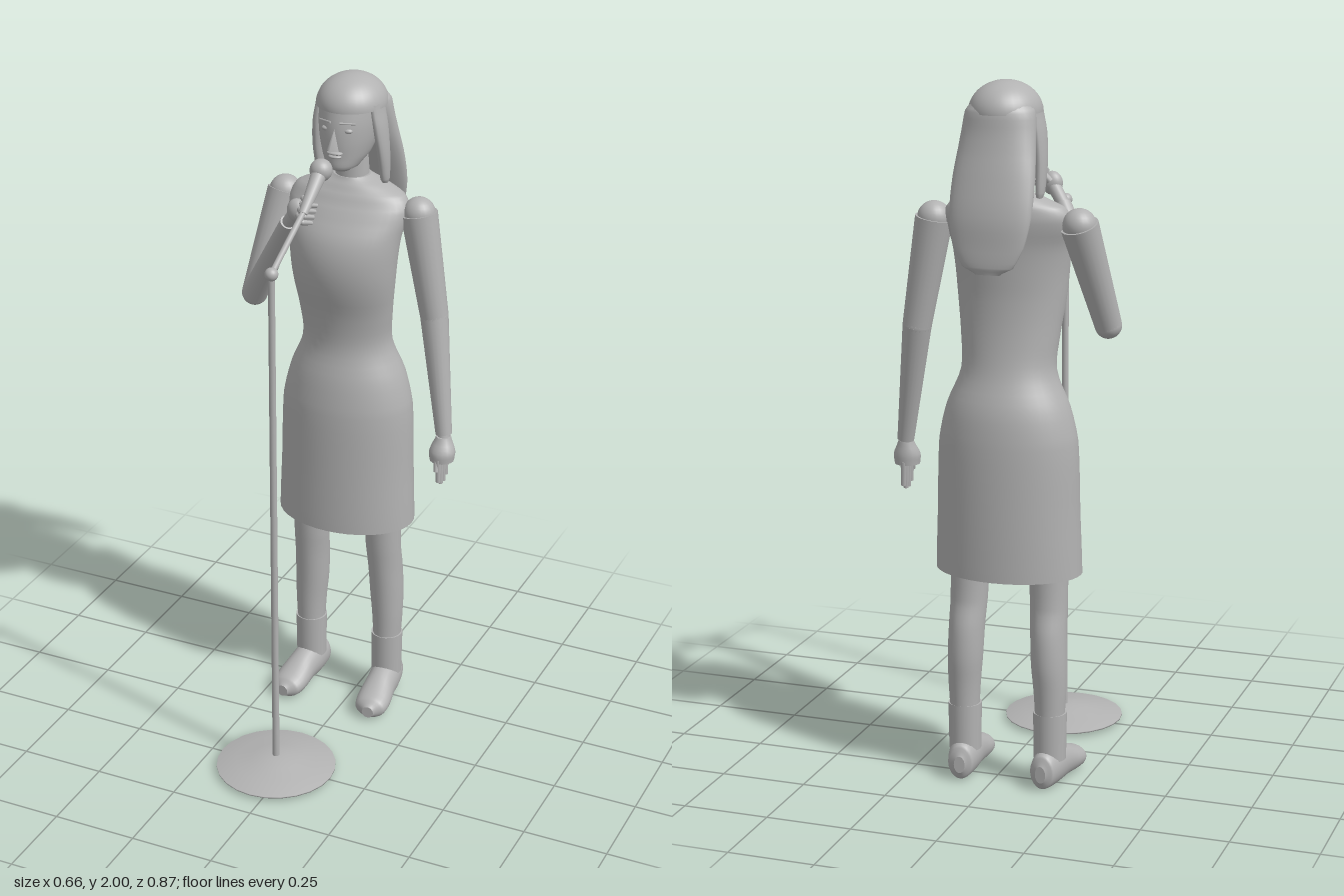
import * as THREE from 'three';

const grey = new THREE.MeshStandardMaterial({ color: 0xb2b2b2 });
grey.name = 'matte grey';
const CX = -0.034; // figure's centre line
const V = (x, y, z) => new THREE.Vector3(x, y, z);

function add(parent, name, geometry, pos) {
  const mesh = new THREE.Mesh(geometry, grey);
  mesh.name = name;
  if (pos) mesh.position.copy(pos);
  parent.add(mesh);
  return mesh;
}

// Elliptical cross-sections [y, centre x, centre z, half width, half depth],
// listed upwards, smoothed in between and closed with flat caps.
function loft(sections, seg = 32, sub = 4) {
  const rings = [];
  const last = sections.length - 1;
  for (let i = 0; i <= last * sub; i++) {
    const k = Math.min(Math.floor(i / sub), last - 1), t = i / sub - k;
    const s = (n) => sections[Math.max(0, Math.min(last, n))];
    rings.push(s(k).map((b, c) => {
      const a = s(k - 1)[c], d = s(k + 1)[c], e = s(k + 2)[c];
      if (c === 0) return b + (d - b) * t;
      return 0.5 * (2 * b + (d - a) * t + (2 * a - 5 * b + 4 * d - e) * t * t + (3 * b - a - 3 * d + e) * t * t * t);
    }));
  }
  const pos = [], idx = [];
  const ring = ([y, x, z, hx, hz]) => {
    for (let j = 0; j < seg; j++) {
      const a = (j / seg) * Math.PI * 2;
      pos.push(x + hx * Math.sin(a), y, z + hz * Math.cos(a));
    }
  };
  rings.forEach(ring);
  for (let i = 0; i < rings.length - 1; i++) {
    for (let j = 0; j < seg; j++) {
      const a = i * seg + j, b = i * seg + (j + 1) % seg;
      idx.push(a, b, a + seg, b, b + seg, a + seg);
    }
  }
  [rings[0], rings[rings.length - 1]].forEach((r, top) => {
    const base = pos.length / 3;
    ring(r);
    pos.push(r[1], r[0], r[2]);
    for (let j = 0; j < seg; j++) {
      const a = base + j, b = base + (j + 1) % seg;
      idx.push(base + seg, ...(top ? [a, b] : [b, a]));
    }
  });
  const g = new THREE.BufferGeometry();
  g.setAttribute('position', new THREE.Float32BufferAttribute(pos, 3));
  g.setIndex(idx);
  g.computeVertexNormals();
  return g;
}

// Tapered rod between two points
function rod(parent, name, a, b, ra, rb, seg = 20) {
  const d = b.clone().sub(a);
  const mesh = add(parent, name, new THREE.CylinderGeometry(rb, ra, d.length(), seg), a.clone().lerp(b, 0.5));
  mesh.quaternion.setFromUnitVectors(V(0, 1, 0), d.normalize());
  return mesh;
}

function ball(parent, name, p, rx, ry = rx, rz = rx) {
  const mesh = add(parent, name, new THREE.SphereGeometry(1, 24, 16), p);
  mesh.scale.set(rx, ry, rz);
  return mesh;
}

function group(parent, name) {
  const g = new THREE.Group();
  g.name = name;
  parent.add(g);
  return g;
}

function buildStand(root) {
  const stand = group(root, 'microphoneStand');
  const z = 0.257, joint = V(CX, 1.595, z);
  const profile = [[0, 0.01], [0.177, 0.01], [0.177, 0.014], [0.12, 0.027], [0.07, 0.037], [0.032, 0.045], [0, 0.045]];
  add(stand, 'base', new THREE.LatheGeometry(profile.map((p) => new THREE.Vector2(...p)), 24), V(CX, 0, z));
  rod(stand, 'pole', V(CX, 0.04, z), joint, 0.0105, 0.0095);
  ball(stand, 'joint', joint, 0.019);
  rod(stand, 'boom', joint, V(CX, 1.71, 0.035), 0.0085, 0.0085);
  rod(stand, 'microphoneBody', V(CX, 1.695, 0.058), V(CX, 1.77, -0.04), 0.013, 0.022);
  ball(stand, 'microphoneHead', V(CX, 1.783, -0.06), 0.032);
}

function buildHead(root) {
  const head = group(root, 'head');
  rod(head, 'neck', V(CX, 1.64, -0.275), V(CX, 1.8, -0.265), 0.052, 0.045);
  add(head, 'face', loft([
    [1.74, CX, -0.2, 0.025, 0.03], [1.752, CX, -0.208, 0.045, 0.056], [1.785, CX, -0.235, 0.066, 0.085],
    [1.83, CX, -0.25, 0.08, 0.102], [1.88, CX, -0.258, 0.087, 0.106], [1.94, CX, -0.265, 0.088, 0.1]]));
  // facial features
  const nose = add(head, 'nose', new THREE.ConeGeometry(0.018, 0.06, 4), V(CX, 1.842, -0.142));
  nose.scale.z = 1.3;
  nose.rotation.x = -0.15;
  ball(head, 'upperLip', V(CX, 1.802, -0.15), 0.024, 0.006, 0.014);
  ball(head, 'lowerLip', V(CX, 1.791, -0.152), 0.02, 0.006, 0.014);
  for (const s of [-1, 1]) {
    ball(head, 'eye', V(CX + s * 0.033, 1.866, -0.166), 0.014, 0.008, 0.011);
    const brow = rod(head, 'brow', V(CX + s * 0.014, 1.89, -0.15), V(CX + s * 0.054, 1.888, -0.168), 0.0035, 0.003, 6);
    brow.name = 'brow';
  }
  // hair: cap, long back fall and two side locks
  const hair = group(head, 'hair');
  const cap = add(hair, 'hairCap', new THREE.SphereGeometry(1, 32, 16, 0, Math.PI * 2, 0, Math.PI / 2), V(CX, 1.915, -0.268));
  cap.scale.set(0.1, 0.085, 0.112);
  const rim = add(hair, 'hairCapUnderside', new THREE.CircleGeometry(1, 32), V(CX, 1.915, -0.268));
  rim.rotation.x = Math.PI / 2;
  rim.scale.set(0.1, 0.112, 1);
  add(hair, 'backHair', loft([
    [1.495, CX, -0.42, 0.035, 0.009], [1.515, CX, -0.419, 0.072, 0.015], [1.57, CX, -0.411, 0.1, 0.022],
    [1.65, CX, -0.396, 0.116, 0.034], [1.75, CX, -0.366, 0.116, 0.044], [1.85, CX, -0.332, 0.106, 0.054],
    [1.92, CX, -0.312, 0.098, 0.064], [1.95, CX, -0.3, 0.08, 0.062]]));
  for (const s of [-1, 1]) {
    add(hair, 'sideLock', loft([
      [1.675, CX + s * 0.098, -0.28, 0.005, 0.008], [1.7, CX + s * 0.1, -0.274, 0.012, 0.02],
      [1.78, CX + s * 0.1, -0.262, 0.015, 0.03], [1.86, CX + s * 0.093, -0.255, 0.016, 0.038],
      [1.93, CX + s * 0.082, -0.255, 0.014, 0.04]], 16));
  }
}

function buildLegs(root) {
  for (const s of [-1, 1]) {
    const leg = group(root, s > 0 ? 'leftLeg' : 'rightLeg');
    const x = CX + s * 0.128;
    add(leg, 'shin', loft([
      [0.2, x, -0.266, 0.042, 0.046], [0.28, x, -0.267, 0.046, 0.05], [0.36, x - s * 0.003, -0.268, 0.05, 0.056],
      [0.45, x - s * 0.006, -0.262, 0.051, 0.058], [0.53, x - s * 0.009, -0.25, 0.053, 0.054],
      [0.68, x - s * 0.012, -0.245, 0.057, 0.058]], 24));
    rod(leg, 'ankleCuff', V(x, 0.08, -0.265), V(x, 0.218, -0.265), 0.046, 0.048);
    // foot: sections run heel to toe, then are laid forward
    const foot = add(leg, 'foot', loft([
      [-0.07, 0, -0.05, 0.016, 0.025], [-0.058, 0, -0.054, 0.036, 0.05], [0, 0, -0.059, 0.046, 0.059],
      [0.06, 0, -0.053, 0.047, 0.052], [0.12, 0, -0.04, 0.052, 0.04], [0.16, 0, -0.033, 0.046, 0.032],
      [0.182, 0, -0.029, 0.018, 0.018]], 24), V(x, 0, -0.265));
    foot.geometry.rotateX(Math.PI / 2);
    foot.rotation.y = s * 0.09;
  }
}

function buildArms(root) {
  // hanging arm
  const left = group(root, 'leftArm');
  const ls = V(0.175, 1.615, -0.267), le = V(0.23, 1.31, -0.262), lw = V(0.288, 0.965, -0.212);
  ball(left, 'shoulder', ls, 0.047);
  rod(left, 'upperArm', ls, le, 0.053, 0.041);
  ball(left, 'elbow', le, 0.041);
  rod(left, 'forearm', le, lw, 0.041, 0.024);
  rod(left, 'wrist', lw, V(0.29, 0.93, -0.205), 0.018, 0.02);
  add(left, 'palm', loft([
    [0.89, 0.29, -0.196, 0.036, 0.036], [0.92, 0.29, -0.198, 0.038, 0.036], [0.96, 0.289, -0.208, 0.022, 0.022]], 16));
  for (let i = 0; i < 4; i++) {
    const z = -0.168 - i * 0.019, tip = 0.818 + (i % 3 === 0 ? 0.012 : 0);
    rod(left, 'finger', V(0.29, 0.9, z), V(0.293, tip, z + 0.004), 0.009, 0.007, 10);
  }
  rod(left, 'thumb', V(0.28, 0.93, -0.18), V(0.288, 0.865, -0.158), 0.009, 0.007, 10);

  // raised arm holding the microphone
  const right = group(root, 'rightArm');
  const rs = V(-0.243, 1.615, -0.267), re = V(-0.295, 1.325, -0.165), rw = V(-0.115, 1.63, -0.018);
  ball(right, 'shoulder', rs, 0.047);
  rod(right, 'upperArm', rs, re, 0.053, 0.038);
  ball(right, 'elbow', re, 0.038);
  rod(right, 'forearm', re, rw, 0.038, 0.023);
  const palm = V(-0.075, 1.682, 0.008);
  rod(right, 'wrist', rw, palm, 0.018, 0.02);
  ball(right, 'palm', palm, 0.03, 0.034, 0.024);
  for (let i = 0; i < 4; i++) {
    const o = V(0, -0.013 * i, 0.011 * i);
    const knuckle = V(-0.06, 1.718, 0).add(o), bend = V(-0.03, 1.715, 0.036).add(o), tip = V(-0.012, 1.708, 0.014).add(o);
    rod(right, 'finger', knuckle, bend, 0.009, 0.008, 10);
    ball(right, 'knuckle', bend, 0.008);
    rod(right, 'fingertip', bend, tip, 0.008, 0.006, 10);
  }
  rod(right, 'thumb', V(-0.075, 1.69, -0.012), V(-0.035, 1.735, -0.022), 0.01, 0.007, 10);
}

export function createModel() {
  const root = new THREE.Group();
  root.name = 'singerWithMicrophone';
  // sleeveless dress from hem to neckline
  add(root, 'dress', loft([
    [0.625, CX, -0.246, 0.211, 0.151], [0.8, CX, -0.248, 0.205, 0.149], [1.0, CX, -0.249, 0.199, 0.144],
    [1.1, CX, -0.25, 0.176, 0.131], [1.2, CX, -0.245, 0.136, 0.104], [1.3, CX, -0.232, 0.141, 0.1],
    [1.4, CX, -0.216, 0.154, 0.109], [1.48, CX, -0.214, 0.162, 0.113], [1.55, CX, -0.224, 0.17, 0.107],
    [1.62, CX, -0.25, 0.183, 0.089], [1.66, CX, -0.262, 0.165, 0.074], [1.685, CX, -0.268, 0.11, 0.062],
    [1.705, CX, -0.27, 0.055, 0.05]], 40));
  buildHead(root);
  buildLegs(root);
  buildArms(root);
  buildStand(root);
  return root;
}
